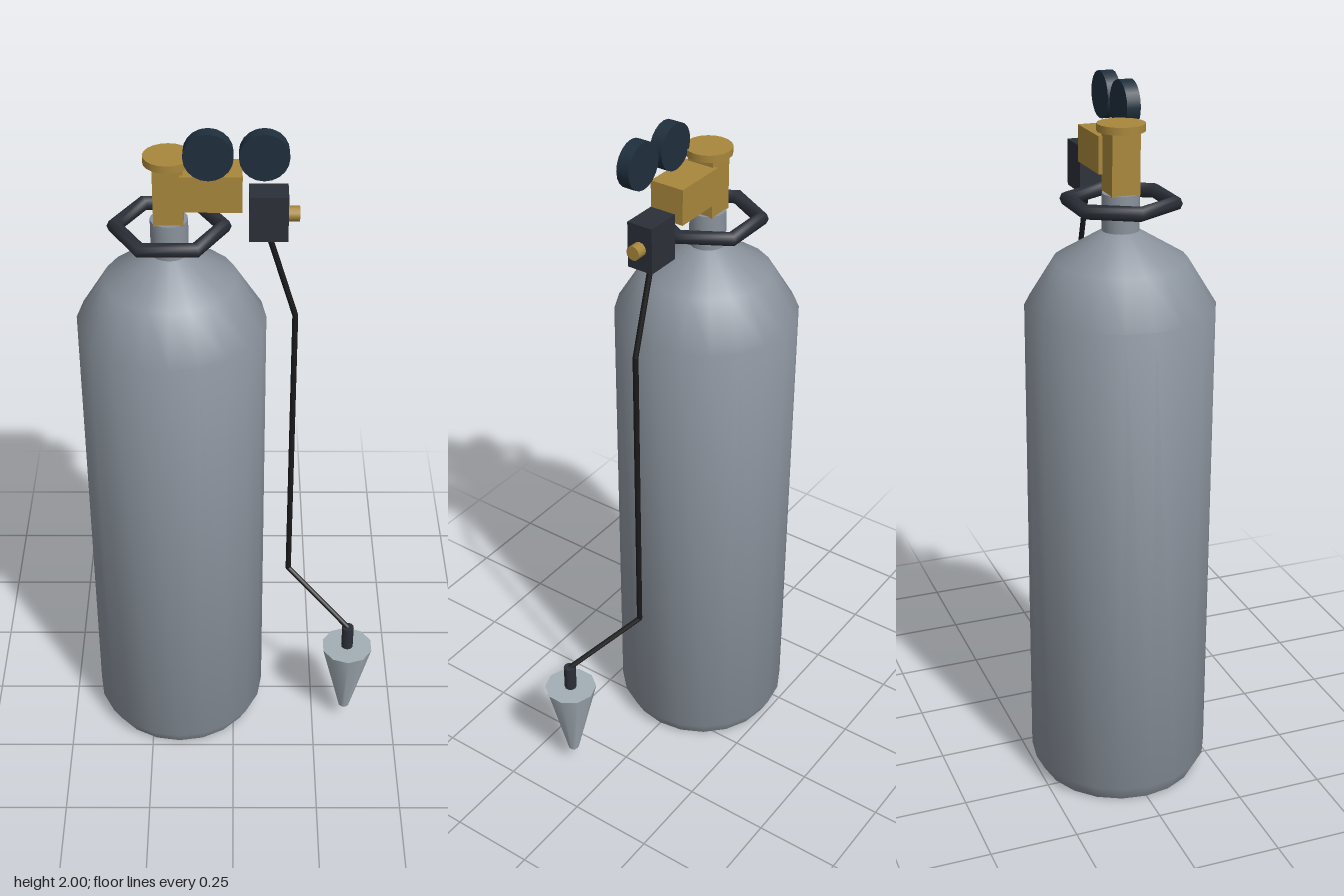
import * as THREE from 'three';
import { toCreasedNormals } from 'three/addons/utils/BufferGeometryUtils.js';

const paint = (color) => new THREE.MeshStandardMaterial({ color });

export function createModel() {
  const model = new THREE.Group();
  const steel = paint(0x8a929c), brass = paint(0xa8873c), black = paint(0x2b2f38);
  const glass = paint(0x1f2f3d), rubber = paint(0x1a1a1c), lead = paint(0xa3aeb6);
  const tankX = -0.167;

  function add(name, geometry, material, x, y, z = 0) {
    const mesh = new THREE.Mesh(geometry, material);
    mesh.name = name;
    mesh.position.set(x, y, z);
    model.add(mesh);
    return mesh;
  }

  // Cylinder body: chamfered foot, straight wall, stepped shoulder, neck
  const profile = [
    [0, 0], [0.232, 0], [0.257, 0.048], [0.257, 1.425], [0.18, 1.55],
    [0.05, 1.628], [0.05, 1.728], [0, 1.728],
  ].map(([r, y]) => new THREE.Vector2(r, y));
  add('tank', toCreasedNormals(new THREE.LatheGeometry(profile, 20), 0.7), steel, tankX, 0);

  // Hexagonal carrying ring around the neck
  add('handleRing', new THREE.TorusGeometry(0.143, 0.02, 8, 6).rotateX(Math.PI / 2), black, tankX, 1.705);

  // Valve block, its cap and the side outlet
  add('valve', new THREE.BoxGeometry(0.078, 0.17, 0.078), brass, tankX, 1.81);
  add('valveCap', new THREE.CylinderGeometry(0.064, 0.064, 0.02, 20), brass, tankX, 1.9);
  add('outlet', new THREE.BoxGeometry(0.16, 0.1, 0.1), brass, -0.056, 1.822);

  // Pair of pressure gauges facing forward
  for (const x of [-0.063, 0.078]) {
    add('gauge', new THREE.CylinderGeometry(0.064, 0.064, 0.038, 20).rotateX(Math.PI / 2), glass, x, 1.936, 0.051);
  }

  // Regulator box with its knob
  add('regulator', new THREE.BoxGeometry(0.102, 0.128, 0.076), black, 0.092, 1.744);
  add('knob', new THREE.CylinderGeometry(0.02, 0.02, 0.03, 12).rotateZ(Math.PI / 2), brass, 0.158, 1.742);

  // Hose with sharp bends, from the regulator down to the weight
  const hosePoints = [
    [0.09, 1.69, 0], [0.168, 1.43, 0], [0.168, 0.517, 0], [0.349, 0.388, 0.128],
  ].map((p) => new THREE.Vector3(...p));
  for (let i = 0; i < hosePoints.length - 1; i++) {
    const path = new THREE.LineCurve3(hosePoints[i], hosePoints[i + 1]);
    add('hose', new THREE.TubeGeometry(path, 1, 0.008, 8), rubber, 0, 0);
    if (i) add('hoseBend', new THREE.SphereGeometry(0.008, 8, 6), rubber, ...hosePoints[i].toArray());
  }

  // Tapered nozzle hanging at the end of the hose
  add('nozzleStem', new THREE.CylinderGeometry(0.018, 0.018, 0.08, 10), black, 0.349, 0.35, 0.128);
  add('nozzle', new THREE.CylinderGeometry(0.077, 0.016, 0.255, 10), lead, 0.349, 0.185, 0.128);

  return model;
}
